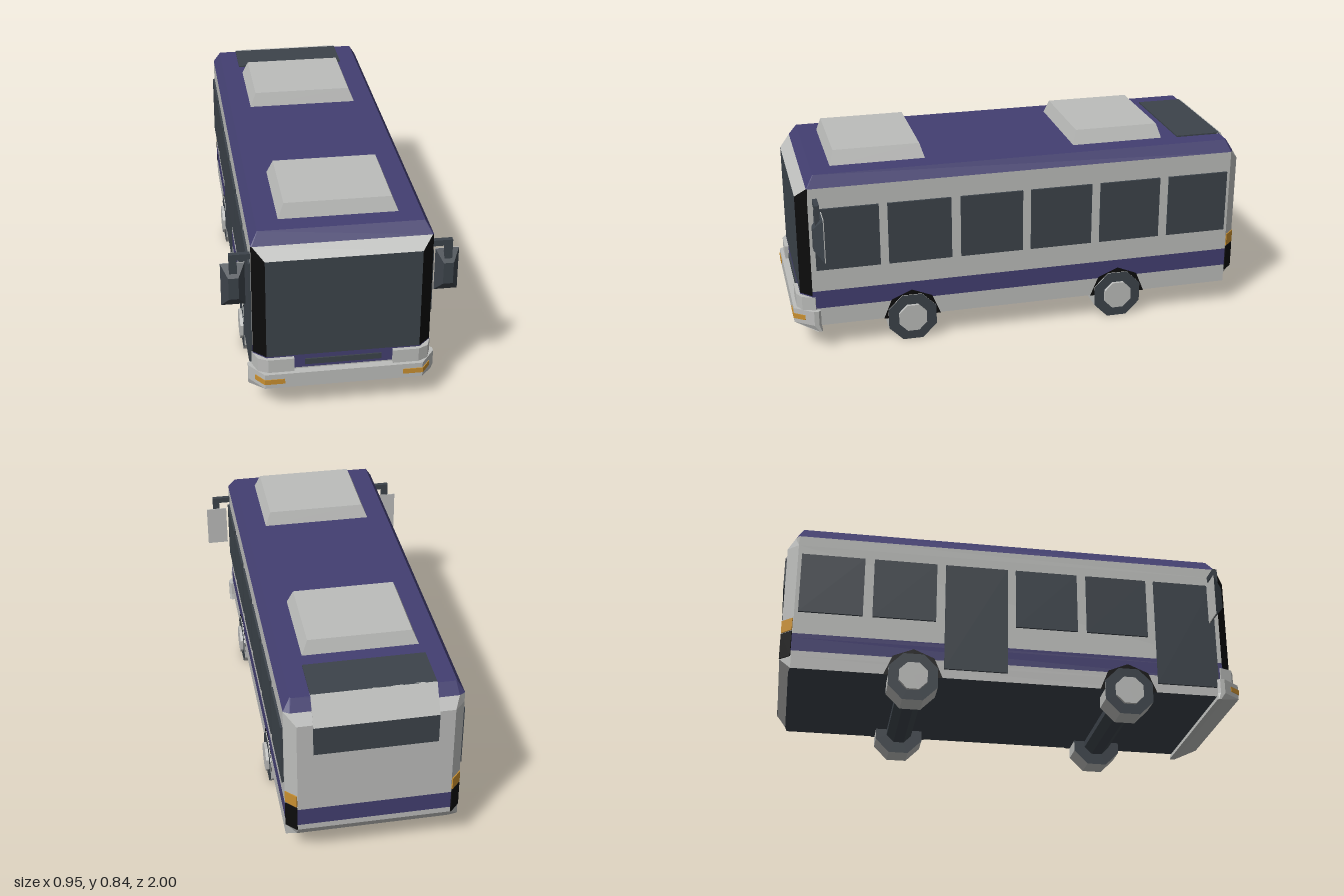
import * as THREE from 'three';

const mat = (name, color, extra = {}) =>
  Object.assign(new THREE.MeshStandardMaterial({ color, ...extra }), { name });

export function createModel() {
  const bus = new THREE.Group();
  bus.name = 'bus';
  const white = mat('pale grey paint', 0xbcbdbb);
  const blue = mat('indigo paint', 0x433f71);
  const dark = mat('dark glass and rubber', 0x3c434a);
  const black = mat('black trim', 0x0c0c0c, { side: THREE.DoubleSide });
  const amber = mat('amber lamp', 0xc88f30);

  // Adds a faceted mesh
  function add(name, geo, material, x = 0, y = 0, z = 0) {
    const g = geo.index ? geo.toNonIndexed() : geo;
    g.computeVertexNormals();
    const mesh = new THREE.Mesh(g, material);
    mesh.name = name;
    mesh.position.set(x, y, z);
    bus.add(mesh);
    return mesh;
  }

  // Box given by its limits on each axis
  const box = (name, material, [x0, x1], [y0, y1], [z0, z1]) =>
    add(name, new THREE.BoxGeometry(Math.abs(x1 - x0), y1 - y0, z1 - z0), material,
      (x0 + x1) / 2, (y0 + y1) / 2, (z0 + z1) / 2);

  const polygon = (pts) => new THREE.Shape(pts.map(([a, b]) => new THREE.Vector2(a, b)));

  // Upright prism from an x/z outline
  function prism(name, material, pts, y0, y1) {
    const g = new THREE.ExtrudeGeometry(polygon(pts), { depth: y1 - y0, bevelEnabled: false });
    g.rotateX(Math.PI / 2).translate(0, y1, 0);
    return add(name, g, material);
  }

  // Eight-sided loft; level = [y, half width, front corner z, front half width, front z,
  // rear corner z, rear half width, rear z]; paint(band, side) picks a material index
  function loft(name, levels, materials, paint) {
    const rings = levels.map(([y, w, fc, wf, zf, rc, wr, zr]) =>
      [[w, rc], [w, fc], [wf, zf], [-wf, zf], [-w, fc], [-w, rc], [-wr, zr], [wr, zr]]
        .map(([x, z]) => [x, y, z]));
    const pos = [];
    const g = new THREE.BufferGeometry();
    const face = (index, ...tris) => {
      g.addGroup(pos.length / 3, tris.length, index);
      tris.forEach((p) => pos.push(...p));
    };
    for (let b = 0; b < rings.length - 1; b++) {
      for (let s = 0; s < 8; s++) {
        const n = (s + 1) % 8, lo = rings[b], up = rings[b + 1];
        face(paint(b, s), lo[s], up[s], up[n], lo[s], up[n], lo[n]);
      }
    }
    const last = rings.length - 1, bottom = [0, levels[0][0], 0], top = [0, levels[last][0], 0];
    bottom[2] = (levels[0][2] + levels[0][5]) / 2;
    top[2] = (levels[last][2] + levels[last][5]) / 2;
    for (let s = 0; s < 8; s++) {
      const n = (s + 1) % 8;
      face(paint('bottom', s), bottom, rings[0][s], rings[0][n]);
      face(paint('top', s), top, rings[last][n], rings[last][s]);
    }
    g.setAttribute('position', new THREE.Float32BufferAttribute(pos, 3));
    return add(name, g, materials);
  }

  // Box whose face on the + side of one axis is shrunk
  function tapered(size, axis, scale) {
    const g = new THREE.BoxGeometry(...size), p = g.attributes.position;
    for (let i = 0; i < p.count; i++) {
      if (p.getComponent(i, axis) > 0) {
        p.setXYZ(i, p.getX(i) * scale[0], p.getY(i) * scale[1], p.getZ(i) * scale[2]);
      }
    }
    return g;
  }

  // Body shell: skirt, blue stripe, windscreen, pale walls and blue roof
  const wall = [0.36, 0.92, 0.31, 0.968, -0.945, 0.315, -0.992];
  loft('body', [
    [0.11, 0.36, 0.9, 0.31, 0.92, -0.945, 0.315, -0.952],
    [0.165, ...wall], [0.19, ...wall], [0.25, ...wall], [0.27, ...wall],
    [0.69, ...wall],
    [0.735, 0.36, 0.918, 0.355, 0.922, -0.945, 0.335, -0.96],
    [0.785, 0.33, 0.888, 0.328, 0.89, -0.925, 0.325, -0.93],
  ], [white, blue, dark, black], (band, side) => {
    if (band === 'bottom') return 2;
    if (band === 'top' || band === 6) return 1;
    const front = side >= 1 && side <= 3;
    if (band === 2) return 1;
    if (band === 3 && !front) return 1;
    if (band === 3 || band === 4) return side === 2 ? 2 : front ? 3 : 0;
    if (band === 5 && (side === 1 || side === 3)) return 3;
    return 0;
  });

  // Front bumper and grille
  const bumper = [0.38, 0.92, 0.32, 1, 0.9, 0.37, 0.89];
  loft('frontBumper', [
    [0.09, 0.38, 0.9, 0.375, 0.91, 0.89, 0.37, 0.885],
    [0.12, ...bumper], [0.185, ...bumper],
  ], [white], () => 0);
  box('grille', dark, [-0.155, 0.155], [0.205, 0.23], [0.966, 0.974]);

  // Side windows and the two doors on the right-hand side
  const slots = [0.762, 0.453, 0.14, -0.169, -0.48, -0.793];
  for (const s of [1, -1]) {
    slots.forEach((z, i) => {
      const door = s < 0 && i % 3 === 0;
      box(door ? 'door' : 'sideWindow', dark, [s * 0.36, s * 0.369],
        [door ? 0.15 : 0.37, 0.645], [z - 0.136, z + 0.136]);
    });
  }

  // Roof units
  for (const z of [0.605, -0.457]) {
    add('roofUnit', tapered([0.48, 0.06, 0.405], 1, [0.895, 1, 0.91]), white, 0, 0.815, z);
  }

  // Rear hood: roof plate, sloping panel and rear window
  box('rearRoofPlate', dark, [-0.25, 0.25], [0.784, 0.791], [-0.93, -0.73]);
  const slope = new THREE.ExtrudeGeometry(
    polygon([[-0.9, 0.78], [-0.925, 0.791], [-0.935, 0.791], [-1, 0.68], [-0.97, 0.68]]),
    { depth: 0.5, bevelEnabled: false });
  slope.rotateY(-Math.PI / 2).translate(0.25, 0, 0);
  add('rearSlopePanel', slope, white);
  box('rearWindow', dark, [-0.25, 0.25], [0.55, 0.68], [-1, -0.991]);

  for (const s of [1, -1]) {
    const outline = (pts) => pts.map(([x, z]) => [s * x, z]);

    // Headlight housings and wrapped indicators
    prism('headlight', white,
      outline([[0.2, 0.95], [0.2, 0.985], [0.305, 0.985], [0.345, 0.965], [0.365, 0.91], [0.34, 0.9]]),
      0.18, 0.245);
    prism('frontIndicator', amber,
      outline([[0.24, 0.995], [0.24, 1.003], [0.322, 1.003], [0.357, 0.956], [0.35, 0.953], [0.318, 0.995]]),
      0.14, 0.162);

    // Rear corner lamps
    const corner = outline([[0.354, -0.945], [0.361, -0.95], [0.32, -0.994], [0.314, -0.988]]);
    prism('rearLamp', black, corner, 0.165, 0.28);
    prism('rearIndicator', amber, corner, 0.285, 0.34);

    // Mirrors
    box('mirrorArm', dark, [s * 0.35, s * 0.443], [0.667, 0.692], [0.88, 0.9]);
    box('mirrorStem', dark, [s * 0.412, s * 0.443], [0.6, 0.667], [0.88, 0.9]);
    add('mirrorHousing', tapered([0.096, 0.19, 0.04], 2, [0.42, 0.5, 1]), dark, s * 0.428, 0.545, 0.892);
    box('mirrorGlass', white, [s * 0.38, s * 0.476], [0.45, 0.64], [0.868, 0.872]);

    // Wheels, hubs and arches
    for (const z of [0.495, -0.435]) {
      const disc = (r, w) => new THREE.CylinderGeometry(r, r, w, 8)
        .rotateY(Math.PI / 8).rotateZ(Math.PI / 2);
      add('wheel', disc(0.1136, 0.105), [white, dark, dark], s * 0.3135, 0.105, z);
      add('hub', disc(0.065, 0.03), white, s * 0.364, 0.105, z);
      add('wheelArch', new THREE.CircleGeometry(0.125, 4, 0, Math.PI).rotateY(s * Math.PI / 2),
        black, s * 0.362, 0.108, z);
    }
  }

  // Axles
  for (const z of [0.495, -0.435]) {
    add('axle', new THREE.CylinderGeometry(0.06, 0.06, 0.52, 8).rotateY(Math.PI / 8).rotateZ(Math.PI / 2),
      dark, 0, 0.105, z);
  }
  return bus;
}
